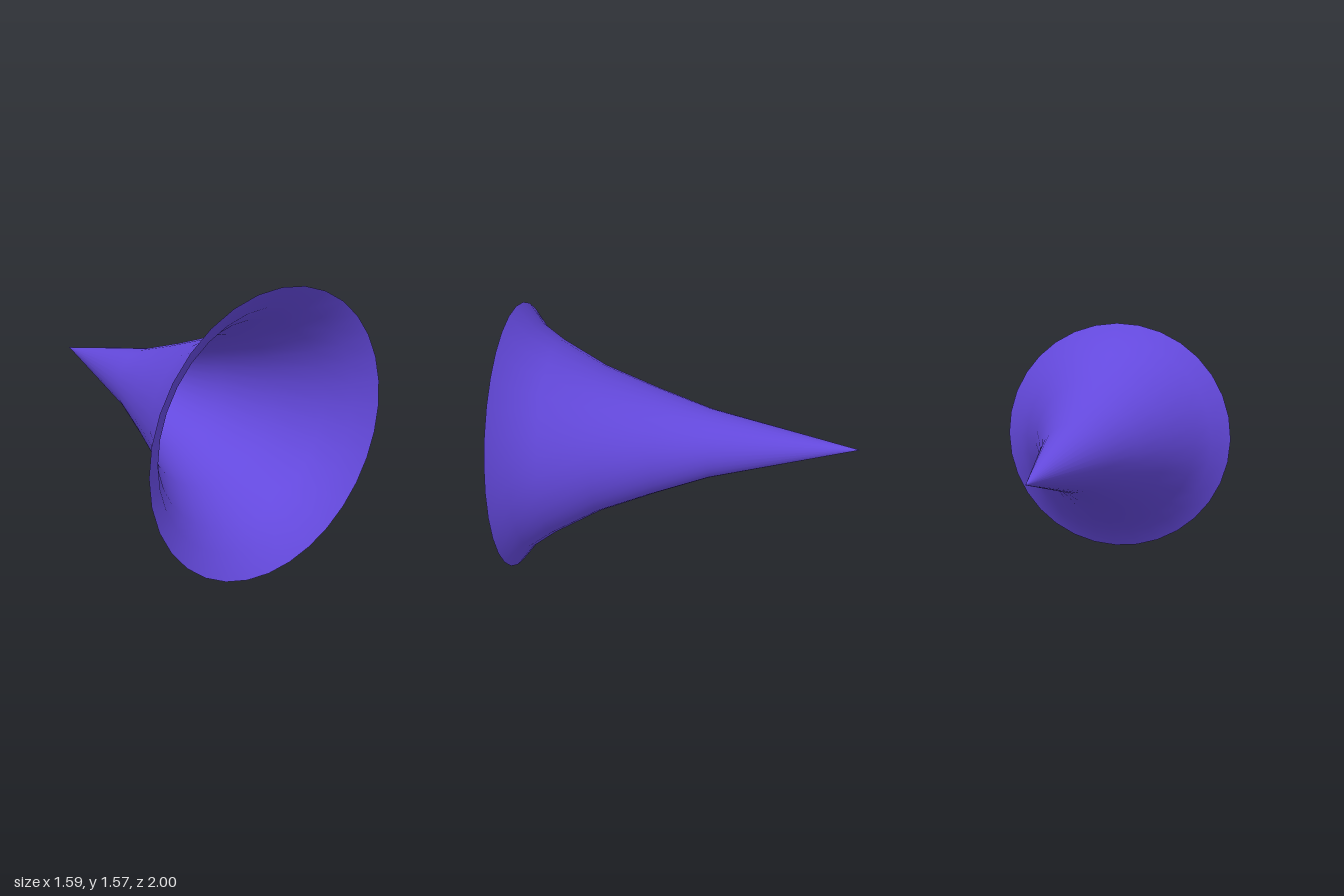
import * as THREE from 'three';

export function createModel() {
  const group = new THREE.Group();
  group.name = 'horn';

  // Flaring profile from the pointed tip to the open rim: [radius, position along axis]
  const profile = [
    [0, -1], [0.207, -0.12], [0.318, 0.2], [0.44, 0.52],
    [0.583, 0.78], [0.675, 0.91], [0.793, 1],
  ].map(([r, z]) => new THREE.Vector2(r, z));

  // Thin open shell, slightly flattened in height, mouth facing +z
  const geometry = new THREE.LatheGeometry(profile, 32);
  geometry.scale(1, 1, 0.987);
  geometry.rotateX(Math.PI / 2);

  const material = new THREE.MeshStandardMaterial({ color: 0x6449dd, side: THREE.DoubleSide });
  const bell = new THREE.Mesh(geometry, material);
  bell.name = 'flaredBell';
  bell.position.y = 0.783;
  group.add(bell);

  return group;
}
